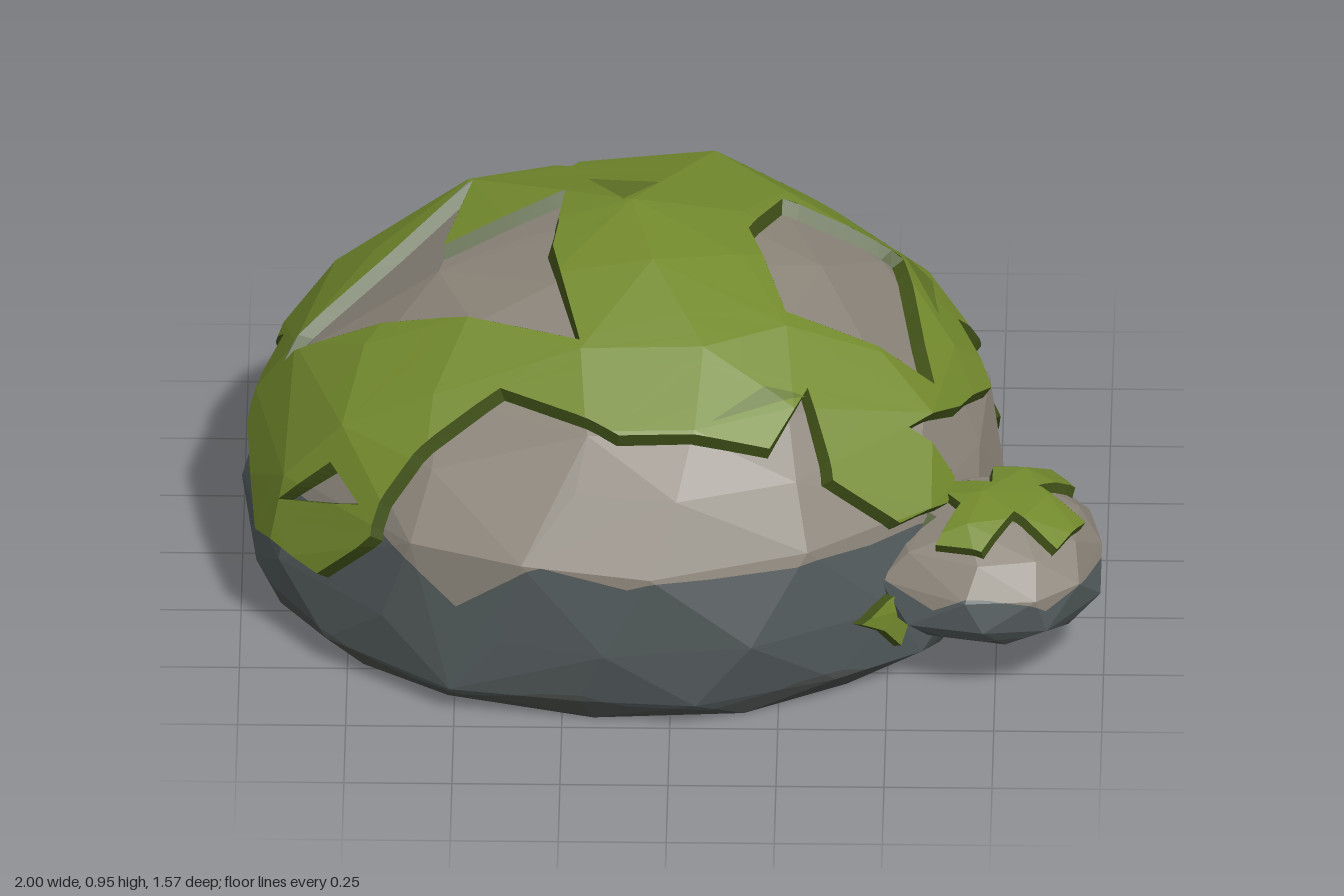
import * as THREE from 'three';
import { ConvexGeometry } from 'three/addons/geometries/ConvexGeometry.js';

const mat = (name, color, side = THREE.FrontSide) => {
  const m = new THREE.MeshStandardMaterial({ color, side });
  m.name = name;
  return m;
};
const V3 = (x, y, z) => new THREE.Vector3(x, y, z);
const V2 = (x, y) => new THREE.Vector2(x, y);
const cross = (a, b, c) => (b.x - a.x) * (c.y - a.y) - (b.y - a.y) * (c.x - a.x);

// A faceted dome: levels are [height, scale, depth factor], radii run round the outline from +x
// towards +z, and knobs are extra corner points
function makeRock(center, radii, levels, knobs, count, jitter, seed) {
  const rand = () => (seed = (seed * 16807) % 2147483647) / 2147483647 - 0.5;
  const outline = a => {
    const n = radii.length, f = ((a / (2 * Math.PI)) % 1 + 1) % 1 * n, i = Math.floor(f) % n;
    return THREE.MathUtils.lerp(radii[i], radii[(i + 1) % n], f - Math.floor(f));
  };
  const points = knobs.map(k => V3(...k));
  levels.forEach(([y, s, depth = 1], k) => {
    const n = Math.round(count * s ** 0.7);
    for (let i = 0; i < n; i++) {
      const a = (i + (k % 2) / 2 + rand() * 0.35) / n * 2 * Math.PI;
      const r = outline(a) * s * (1.01 + rand() * jitter);
      const h = k ? y + rand() * Math.min(jitter * outline(0) * 0.7, y) : 0;
      points.push(V3(center.x + Math.cos(a) * r, center.y + h, center.z + Math.sin(a) * r * depth));
    }
  });

  // Map directions from the centre onto a disc, so regions can be laid out in 2D
  const flat = p => {
    const d = p.clone().sub(center).normalize();
    return V2(d.x / (1 + d.y), d.z / (1 + d.y));
  };
  const pos = new ConvexGeometry(points).getAttribute('position');
  const tris = [], base = [];
  for (let i = 0; i < pos.count; i += 3) {
    const p = [0, 1, 2].map(j => V3().fromBufferAttribute(pos, i + j));
    if (p.every(q => q.y < center.y + 1e-4)) base.push(...p);
    else tris.push({ p, q: p.map(flat) });
  }
  const bary = (t, u) => {
    const [a, b, c] = t.q, A = cross(a, b, c) || 1e-9;
    return [cross(u, b, c) / A, cross(a, u, c) / A, cross(a, b, u) / A];
  };
  const lift = (t, u, offset) => {
    const w = bary(t, u), out = V3(0, 0, 0);
    t.p.forEach((p, i) => out.addScaledVector(p, w[i]));
    return out.addScaledVector(out.clone().sub(center).normalize(), offset);
  };
  const locate = u => {
    let best = tris[0], score = -Infinity;
    for (const t of tris) {
      const s = Math.min(...bary(t, u));
      if (s > score) { score = s; best = t; }
    }
    return best;
  };
  const clip = (poly, tri) => {
    if (cross(...tri) < 0) tri = [tri[0], tri[2], tri[1]];
    for (let i = 0; i < 3; i++) {
      const a = tri[i], b = tri[(i + 1) % 3], out = [];
      poly.forEach((p, k) => {
        const q = poly[(k + 1) % poly.length], dp = cross(a, b, p), dq = cross(a, b, q);
        if (dp >= 0) out.push(p);
        if ((dp >= 0) !== (dq >= 0)) out.push(p.clone().lerp(q, dp / (dp - dq)));
      });
      poly = out;
    }
    return poly;
  };

  // Surface of a region, following every facet of the rock
  const drape = (contour, holes = [], offset = 0) => {
    const all = [contour, ...holes].flat(), verts = [];
    for (const f of THREE.ShapeUtils.triangulateShape(contour, holes)) {
      for (const t of tris) {
        const poly = clip(t.q, f.map(i => all[i])).map(u => lift(t, u, offset));
        for (let i = 2; i < poly.length; i++) verts.push(poly[0], poly[i - 1], poly[i]);
      }
    }
    return verts;
  };
  // Bevelled rim between a raised region and the rock
  const rim = (loops, offset, flare) => {
    const verts = [];
    loops.forEach((loop, k) => {
      const pts = (THREE.ShapeUtils.area(loop) > 0) === (k === 0) ? loop : [...loop].reverse();
      const n = pts.length;
      const normal = i => {
        const d = pts[(i + 1) % n].clone().sub(pts[i % n]).normalize();
        return V2(d.y, -d.x);
      };
      const low = pts.map((p, i) => p.clone().addScaledVector(normal(i).add(normal(i + n - 1)).normalize(), flare));
      for (let i = 0; i < n; i++) {
        const j = (i + 1) % n, steps = 8;
        const at = s => {
          const u = pts[i].clone().lerp(pts[j], s), v = low[i].clone().lerp(low[j], s);
          return [lift(locate(u), u, offset), lift(locate(v), v, -0.004)];
        };
        for (let s = 0; s < steps; s++) {
          const [a, b] = at(s / steps), [c, d] = at((s + 1) / steps);
          verts.push(a, b, c, c, b, d);
        }
      }
    });
    return verts;
  };
  // Point on the dome from a plan position, or from a full position
  const place = list => list.map(c => {
    if (c.length === 3) return flat(V3(...c));
    const dx = c[0] - center.x, dz = c[1] - center.z;
    const s = Math.hypot(dx, dz) / outline(Math.atan2(dz, dx));
    let i = levels.length - 1;
    while (i > 2 && levels[i - 1][1] < s) i--;
    const [y0, s0] = levels[i - 1], [y1, s1] = levels[i];
    return flat(V3(c[0], center.y + THREE.MathUtils.mapLinear(s, s1, s0, y1, y0), c[1]));
  });
  // Closed line round the rock at the given heights
  const belt = heights => heights.map((y, i) => {
    const a = i / heights.length * 2 * Math.PI, r = outline(a) * 0.97;
    return flat(V3(center.x + Math.cos(a) * r, center.y + y, center.z + Math.sin(a) * r));
  });
  return { base, drape, rim, place, belt };
}

export function createModel() {
  const light = mat('warm grey stone', 0x8a8378), slate = mat('slate stone', 0x525a5b);
  const dark = mat('dark stone', 0x4a4e4b), moss = mat('moss', 0x738a2d), shade = mat('deep moss', 0x627727);
  const edge = mat('moss edge', 0x425319, THREE.DoubleSide);
  const model = new THREE.Group();
  model.name = 'mossyRock';

  const add = (group, name, verts, material) => {
    const g = new THREE.BufferGeometry().setFromPoints(verts);
    g.computeVertexNormals();
    const mesh = new THREE.Mesh(g, material);
    mesh.name = name;
    group.add(mesh);
  };
  const addStone = (group, rock, upper, lower) => {
    const outer = Array.from({ length: 12 }, (_, i) => V2(1.3 * Math.cos(i * Math.PI / 6), 1.3 * Math.sin(i * Math.PI / 6)));
    const a = rock.belt(upper), b = rock.belt(lower);
    add(group, 'upperStone', rock.drape(a), light);
    add(group, 'middleStone', rock.drape(b, [a]), slate);
    add(group, 'lowerStone', rock.drape(outer, [b]), dark);
    add(group, 'underside', rock.base, dark);
  };
  const addMoss = (group, rock, name, contour, holes, offset, flare) => {
    const loops = [contour, ...holes].map(rock.place);
    add(group, name, rock.drape(loops[0], loops.slice(1), offset), moss);
    add(group, name + 'Edge', rock.rim(loops, offset, flare), edge);
  };

  // Large boulder
  const boulder = new THREE.Group();
  boulder.name = 'boulder';
  const big = makeRock(V3(-0.1, 0, 0),
    [0.87, 0.89, 0.88, 0.84, 0.8, 0.81, 0.78, 0.77, 0.82, 0.83, 0.88, 0.91, 0.89, 0.9, 0.89, 0.81,
      0.82, 0.8, 0.77, 0.79, 0.83, 0.82, 0.87, 0.89],
    [[0, 0.91, 0.98], [0.07, 0.97], [0.22, 0.99], [0.42, 0.93, 1.05], [0.57, 0.83, 1.02], [0.68, 0.67, 1.08],
      [0.79, 0.5, 1.03], [0.85, 0.29]],
    [[-0.1, 0.918, -0.04], [-0.05, 0.89, 0.17], [-0.47, 0.805, -0.3], [0.08, 0.81, -0.42]],
    16, 0.03, 4211);
  addStone(boulder, big,
    [0.24, 0.25, 0.38, 0.4, 0.39, 0.42, 0.38, 0.42, 0.27, 0.42, 0.4, 0.36, 0.34, 0.3, 0.36, 0.28,
      0.4, 0.3, 0.42, 0.33, 0.54, 0.3, 0.36, 0.22],
    Array.from({ length: 24 }, (_, i) => 0.065 + 0.03 * Math.sin(i * 2.1)));

  // Moss blanket with openings
  addMoss(boulder, big, 'mossBlanket', [
    [-0.98, 0.25, 0.27], [-0.83, 0.27, 0.5], [-0.68, 0.41, 0.56], [-0.58, 0.58, 0.5], [-0.4, 0.74, 0.44],
    [-0.12, 0.68, 0.57], [0.24, 0.67, 0.58], [0.31, 0.71, 0.4], [0.37, 0.56, 0.55], [0.53, 0.44, 0.54],
    [0.64, 0.42, 0.42], [0.66, 0.46, 0.36], [0.55, 0.6, 0.37],
    [0.7, 0.56, 0.19], [0.76, 0.48, -0.02], [0.7, 0.57, -0.19], [0.74, 0.43, -0.3], [0.62, 0.44, -0.56],
    [0.56, 0.7, -0.36], [0.3, 0.79, -0.43], [0.05, 0.82, -0.43], [-0.14, -0.57], [-0.24, 0.82, -0.35], [-0.43, -0.47],
    [-0.67, 0.58, -0.56], [-0.74, 0.42, -0.54], [-0.84, 0.52, -0.42], [-0.92, 0.36, -0.32],
    [-0.93, 0.5, -0.2], [-0.98, 0.35, 0]],
  [
    [[-0.87, 0.03], [-0.46, 0.81, -0.29], [-0.52, -0.03], [-0.25, -0.15], [-0.28, 0.07], [-0.21, 0.36], [-0.52, 0.22]],
    [[0.25, 0.23], [0.16, -0.03], [0.23, -0.22], [0.5, -0.22], [0.62, 0.62, 0.2]],
    [[-0.92, 0.37, 0.36], [-0.8, 0.52, 0.42], [-0.69, 0.45, 0.5]],
  ], 0.032, 0.012);
  // Deeper green blotches on the blanket
  [
    [[0.08, 0.52], [0.2, 0.42], [0.29, 0.41]],
    [[0.62, 0.62, -0.08], [0.63, 0.62, -0.28], [0.56, 0.71, -0.28]],
    [[-0.2, -0.22], [-0.04, -0.16], [-0.12, -0.04]],
  ].forEach(c => add(boulder, 'deepMoss', big.drape(big.place(c), [], 0.035), shade));
  // Loose moss tufts
  addMoss(boulder, big, 'backMoss', [[-0.2, 0.48, -0.75], [0.07, 0.43, -0.77], [0.15, 0.55, -0.66], [0, 0.51, -0.7]], [], 0.03, 0.01);
  addMoss(boulder, big, 'sideMoss', [[0.78, 0.26, -0.22], [0.74, 0.2, -0.43], [0.75, 0.1, -0.34]], [], 0.025, 0.01);
  addMoss(boulder, big, 'frontMoss', [[0.43, 0.22, 0.62], [0.58, 0.28, 0.53], [0.53, 0.12, 0.57]], [], 0.025, 0.01);
  model.add(boulder);

  // Small stone resting against the boulder
  const stone = new THREE.Group();
  stone.name = 'smallStone';
  const small = makeRock(V3(0.735, 0.16, 0.4), [0.265, 0.28, 0.27, 0.26, 0.28, 0.29, 0.28, 0.26, 0.25, 0.25, 0.27, 0.28],
    [[0, 0.84], [0.05, 1], [0.13, 0.98], [0.2, 0.8], [0.25, 0.45]], [[0.72, 0.425, 0.42]], 10, 0.08, 977);
  addStone(stone, small, [0.1, 0.13, 0.09, 0.14, 0.1, 0.13, 0.12, 0.1, 0.14, 0.1, 0.13, 0.09], Array(12).fill(0.015));
  addMoss(stone, small, 'stoneMoss', [
    [0.6, 0.34], [0.74, 0.37], [0.74, 0.2], [0.85, 0.17], [0.92, 0.26], [0.84, 0.37], [0.94, 0.43], [0.88, 0.55],
    [0.79, 0.48], [0.72, 0.58], [0.62, 0.55], [0.67, 0.45]], [], 0.024, 0.025);
  addMoss(stone, small, 'stoneMossTuft', [[0.51, 0.52], [0.53, 0.38], [0.6, 0.45]], [], 0.02, 0.025);
  model.add(stone);
  return model;
}
